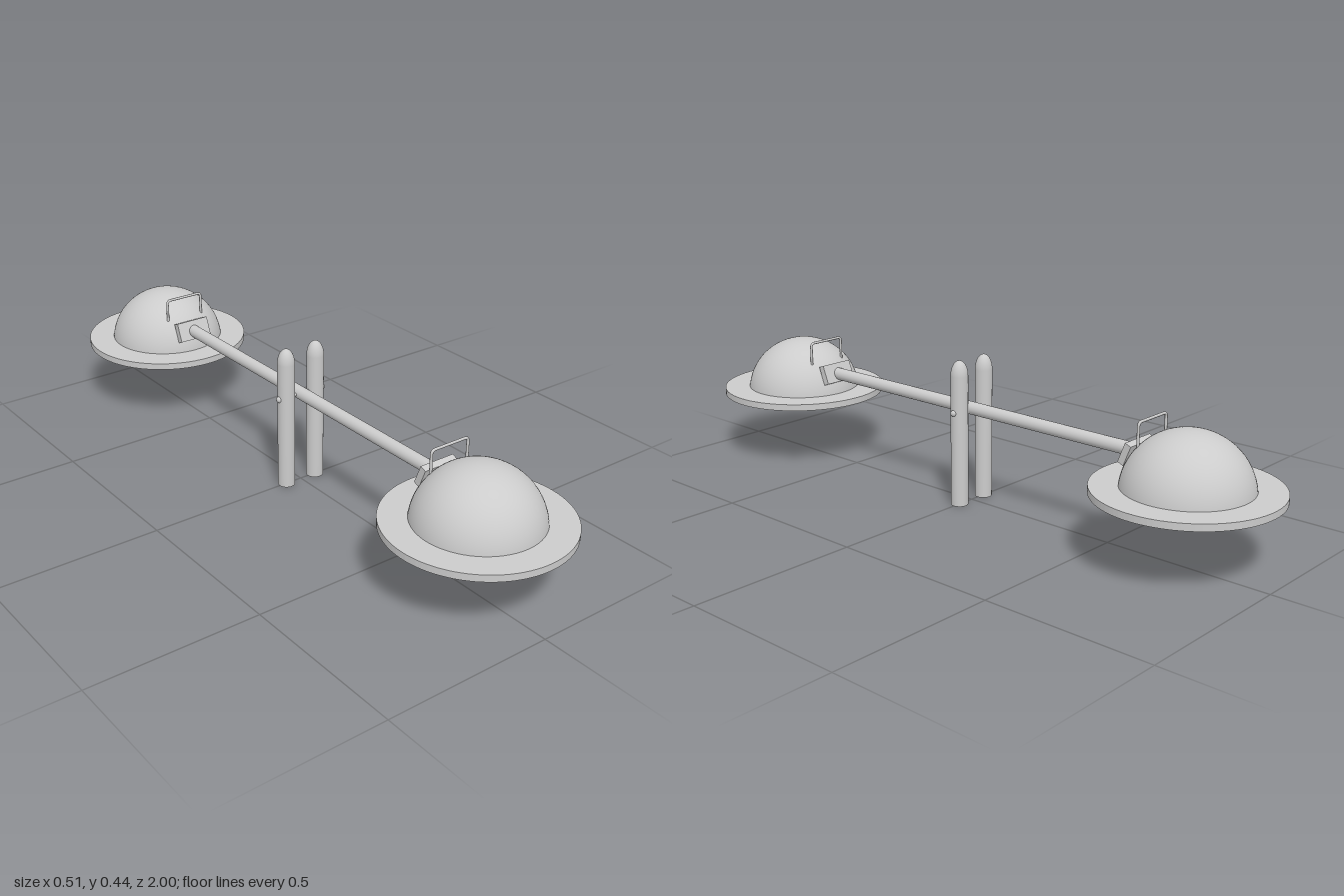
import * as THREE from 'three';

const material = new THREE.MeshStandardMaterial({ color: 0xcccccc });
const openMaterial = new THREE.MeshStandardMaterial({ color: 0xcccccc, side: THREE.DoubleSide });

function part(name, geometry, x = 0, y = 0, z = 0, mat = material) {
  const mesh = new THREE.Mesh(geometry, mat);
  mesh.name = name;
  mesh.position.set(x, y, z);
  return mesh;
}

// One seat with its rim, dome, handle and mounting plate, centred at z = 0.745
function createSeat(name) {
  const seat = new THREE.Group();
  seat.name = name;
  const seatZ = 0.745;

  // Flat ring around the dome
  const ring = new THREE.Shape().absarc(0, 0, 0.255, 0, Math.PI * 2);
  ring.holes.push(new THREE.Path().absarc(0, 0, 0.171, 0, Math.PI * 2, true));
  const rim = new THREE.ExtrudeGeometry(ring, { depth: 0.02, bevelEnabled: false, curveSegments: 48 });
  rim.rotateX(-Math.PI / 2);
  seat.add(part('seatRim', rim, 0, 0.2, seatZ));

  // Hollow dome: outer and inner shells
  for (const [label, r, h] of [['domeOuter', 0.178, 0.174], ['domeInner', 0.171, 0.167]]) {
    const shell = new THREE.SphereGeometry(r, 64, 24, 0, Math.PI * 2, 0, Math.PI / 2);
    shell.scale(1, h / r, 1);
    seat.add(part(label, shell, 0, 0.2, seatZ, openMaterial));
  }

  // Bent wire handle with rounded corners
  const path = new THREE.CurvePath();
  const w = 0.062, top = 0.383, c = 0.012, z = 0.63;
  const p = (x, y) => new THREE.Vector3(x, y, z);
  path.add(new THREE.LineCurve3(p(-w, 0.31), p(-w, top - c)));
  path.add(new THREE.QuadraticBezierCurve3(p(-w, top - c), p(-w, top), p(-w + c, top)));
  path.add(new THREE.LineCurve3(p(-w + c, top), p(w - c, top)));
  path.add(new THREE.QuadraticBezierCurve3(p(w - c, top), p(w, top), p(w, top - c)));
  path.add(new THREE.LineCurve3(p(w, top - c), p(w, 0.31)));
  seat.add(part('handle', new THREE.TubeGeometry(path, 80, 0.004, 10)));

  // Tilted plate joining the beam to the dome
  const plate = part('mountingPlate', new THREE.BoxGeometry(0.11, 0.06, 0.02), 0, 0.285, 0.583);
  plate.rotation.x = 0.38;
  seat.add(plate);
  return seat;
}

export function createModel() {
  const model = new THREE.Group();
  model.name = 'seesaw';

  // Two seats facing each other
  const backSeat = createSeat('backSeat');
  backSeat.rotation.y = Math.PI;
  model.add(createSeat('frontSeat'), backSeat);

  // Beam between the seats
  const beam = new THREE.CylinderGeometry(0.019, 0.019, 1.16, 32);
  beam.rotateX(Math.PI / 2);
  model.add(part('beam', beam, 0, 0.283, 0));

  // Round-topped posts with a bolt head on the outside
  const profile = [new THREE.Vector2(0, 0), new THREE.Vector2(0.0255, 0), new THREE.Vector2(0.0255, 0)];
  for (let i = 0; i <= 12; i++) {
    const a = (i / 12) * Math.PI / 2;
    profile.push(new THREE.Vector2(0.0255 * Math.cos(a), 0.39 + 0.045 * Math.sin(a)));
  }
  const postGeometry = new THREE.LatheGeometry(profile, 32);
  for (const [side, label] of [[1, 'left'], [-1, 'right']]) {
    model.add(part(label + 'Post', postGeometry, side * 0.052, 0, 0));
    const bolt = new THREE.SphereGeometry(0.009, 16, 12);
    bolt.scale(0.8, 1, 1);
    model.add(part(label + 'BoltHead', bolt, side * 0.078, 0.283, 0));
  }

  // Pivot pin through posts and beam
  const pin = new THREE.CylinderGeometry(0.005, 0.005, 0.15, 16);
  pin.rotateZ(Math.PI / 2);
  model.add(part('pivotPin', pin, 0, 0.283, 0));
  return model;
}
